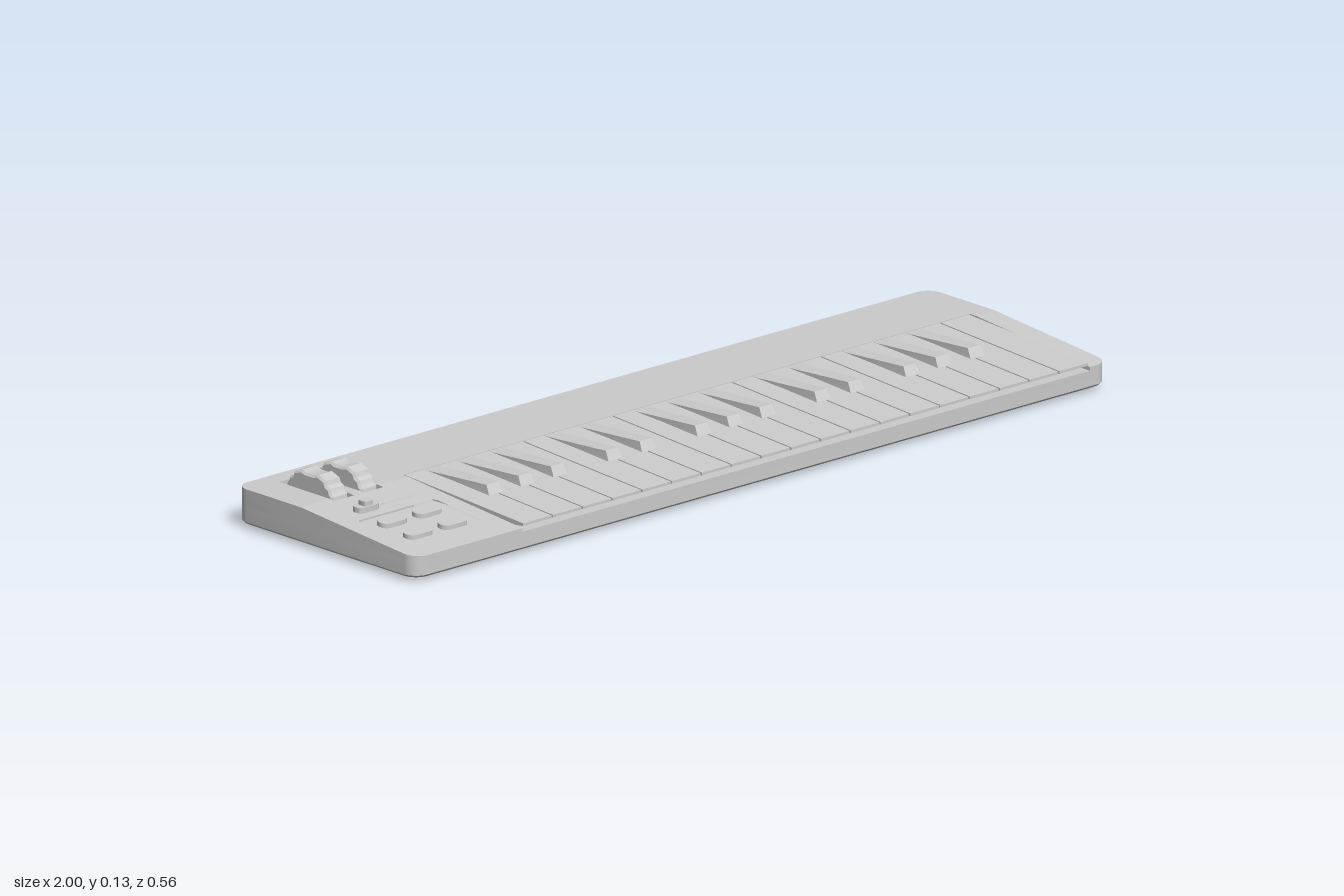
import * as THREE from 'three';
import { toCreasedNormals } from 'three/addons/utils/BufferGeometryUtils.js';

const mat = new THREE.MeshStandardMaterial({ color: 0xcccccc });
const CREASE = -0.075, FLOOR = 0.05;
const WELL = { left: -0.69, right: 0.945, back: -0.093 };
const WHEELS = [-0.887, -0.803];

// Height of the case top: level at the back, sloping down to the front
const topY = z => (z <= CREASE ? 0.088 : 0.088 - 0.03 * (z - CREASE) / (0.28 - CREASE));

// Quarter-circle corner points around (cx, cz), starting at angle a
function arc(cx, cz, r, a, n = 6) {
  return Array.from({ length: n + 1 }, (_, i) => {
    const t = a + (i / n) * Math.PI / 2;
    return [cx + r * Math.cos(t), cz + r * Math.sin(t)];
  });
}

function roundRect(x0, x1, z0, z1, r) {
  const q = Math.PI / 2;
  return [
    ...arc(x0 + r, z0 + r, r, 2 * q), ...arc(x1 - r, z0 + r, r, 3 * q),
    ...arc(x1 - r, z1 - r, r, 0), ...arc(x0 + r, z1 - r, r, q),
  ];
}

// Vertical prism over a plan outline; bottom and top heights may depend on z
function prism(name, outline, bottom, top, { holes = [], scaleBottom = [1, 1], scaleTop = [1, 1] } = {}) {
  const pts = list => list.map(([x, z]) => new THREE.Vector2(x, -z));
  const shape = new THREE.Shape(pts(outline));
  shape.holes = holes.map(h => new THREE.Path(pts(h)));
  const geo = new THREE.ExtrudeGeometry(shape, { depth: 1, bevelEnabled: false });
  geo.rotateX(-Math.PI / 2);
  const p = geo.attributes.position;
  for (let i = 0; i < p.count; i++) {
    const up = p.getY(i) > 0.5, s = up ? scaleTop : scaleBottom, z = p.getZ(i);
    p.setXYZ(i, p.getX(i) * s[0], (up ? top : bottom)(z), z * s[1]);
  }
  return finish(name, geo);
}

// Side profile of [z, y] points, extruded across x and centred on x = 0
function sideProfile(name, profile, width, bevel = 0) {
  const shape = new THREE.Shape(profile.map(([z, y]) => new THREE.Vector2(-z, y)));
  const depth = width - 2 * bevel;
  const geo = new THREE.ExtrudeGeometry(shape, {
    depth, bevelEnabled: bevel > 0, bevelSize: bevel, bevelThickness: bevel, bevelOffset: -bevel, bevelSegments: 1,
  });
  geo.translate(0, 0, -depth / 2).rotateY(Math.PI / 2);
  return finish(name, geo);
}

function finish(name, geo) {
  const mesh = new THREE.Mesh(toCreasedNormals(geo, 0.5), mat);
  mesh.name = name;
  return mesh;
}

const flat = y => () => y;
const above = d => z => topY(z) + d;

function createCase() {
  const g = new THREE.Group();
  g.name = 'case';
  const plan = roundRect(-1, 1, -0.28, 0.28, 0.035);
  const q = Math.PI / 2;
  g.add(prism('basePlate', roundRect(-0.95, 0.95, -0.227, 0.253, 0.015), flat(0), flat(0.012),
    { scaleBottom: [0.998, 0.99] }));
  g.add(prism('bottomChamfer', plan, flat(0.01), flat(0.015), { scaleBottom: [0.996, 0.985] }));
  g.add(prism('lowerCase', plan, flat(0.015), flat(FLOOR)));

  // Rear deck, notched for the key well and the two wheel slots
  const slot = (x, z) => [[x - 0.028, CREASE], [x - 0.028, z], [x + 0.028, z], [x + 0.028, CREASE]];
  const rear = [
    ...arc(-0.965, -0.245, 0.035, 2 * q), ...arc(0.965, -0.245, 0.035, 3 * q),
    [1, CREASE], [WELL.right, CREASE], [WELL.right, WELL.back], [WELL.left, WELL.back], [WELL.left, CREASE],
    ...slot(WHEELS[1], -0.235).reverse(), ...slot(WHEELS[0], -0.235).reverse(), [-1, CREASE],
  ];
  g.add(prism('rearDeck', rear, flat(FLOOR), topY));

  // Sloping control deck with openings for the buttons and slider
  const buttonWell = roundRect(-0.955, -0.73, 0.05, 0.2, 0.012);
  const left = [
    [-1, CREASE], ...slot(WHEELS[0], -0.062), ...slot(WHEELS[1], -0.062),
    [WELL.left, CREASE], [WELL.left, 0.28], ...arc(-0.965, 0.245, 0.035, q),
  ];
  g.add(prism('controlDeck', left, flat(FLOOR), topY,
    { holes: [buttonWell, roundRect(-0.925, -0.755, 0.005, 0.015, 0.004)] }));
  g.add(prism('buttonPanel', buttonWell, flat(FLOOR), above(-0.004)));

  const right = [[WELL.right, CREASE], [1, CREASE], ...arc(0.965, 0.245, 0.035, 0), [WELL.right, 0.28]];
  g.add(prism('rightCheek', right, flat(FLOOR), topY));
  return g;
}

function createKeys() {
  const g = new THREE.Group();
  g.name = 'keys';
  const count = 19, pitch = (0.941 - WELL.left) / count;
  const white = [[0.28, 0.062], [0.28, 0.068], [-0.089, 0.0885], [-0.089, 0.052], [0.23, 0.056]];
  const black = [[0.114, 0.073], [0.1, 0.098], [-0.075, 0.0885], [-0.088, 0.0885], [-0.088, 0.07]];
  // The scale starts on F; no black key follows B or E
  const hasBlack = [1, 1, 1, 0, 1, 1, 0];
  for (let i = 0; i < count; i++) {
    const w = sideProfile('whiteKey', white, pitch - 0.004);
    w.position.x = WELL.left + (i + 0.5) * pitch;
    g.add(w);
    if (!hasBlack[i % 7] || i === count - 1) continue;
    const b = sideProfile('blackKey', black, 0.042);
    // Taper the black key towards its top
    const p = b.geometry.attributes.position;
    for (let k = 0; k < p.count; k++) if (p.getY(k) > 0.09) p.setX(k, p.getX(k) * 0.82);
    b.geometry = toCreasedNormals(b.geometry, 0.5);
    // Outer black keys in a group sit slightly off the gap
    const shift = [-0.006, 0, 0.008, 0, -0.005, 0.006, 0][i % 7];
    b.position.x = WELL.left + (i + 1) * pitch + shift;
    g.add(b);
  }
  return g;
}

function createControls() {
  const g = new THREE.Group();
  g.name = 'controls';
  // Notched wheels, symmetric about their axle
  const half = [[0.012, 0.125], [0.025, 0.129], [0.048, 0.121], [0.052, 0.111], [0.062, 0.106],
    [0.066, 0.096], [0.072, 0.09], [0.073, 0.055]];
  const axle = -0.146;
  const wheelProfile = [
    ...half.map(([d, y]) => [axle - d, y]).reverse(),
    ...half.map(([d, y]) => [axle + d, y]),
  ];
  for (const x of WHEELS) {
    const wheel = sideProfile('wheel', wheelProfile, 0.048, 0.005);
    wheel.position.x = x;
    g.add(wheel);
  }

  // Slider knob with a raised grip
  g.add(prism('sliderKnob', roundRect(-0.923, -0.862, -0.005, 0.027, 0.014), flat(0.06), flat(0.092)));
  g.add(prism('sliderGrip', roundRect(-0.905, -0.88, -0.001, 0.023, 0.005), flat(0.09), flat(0.102)));

  // Four pill-shaped buttons
  for (const x of [-0.895, -0.795])
    for (const z of [0.095, 0.175])
      g.add(prism('button', roundRect(x - 0.036, x + 0.036, z - 0.018, z + 0.018, 0.0175), flat(FLOOR), above(0.006)));
  return g;
}

export function createModel() {
  const model = new THREE.Group();
  model.name = 'keyboardController';
  model.add(createCase(), createKeys(), createControls());
  return model;
}
